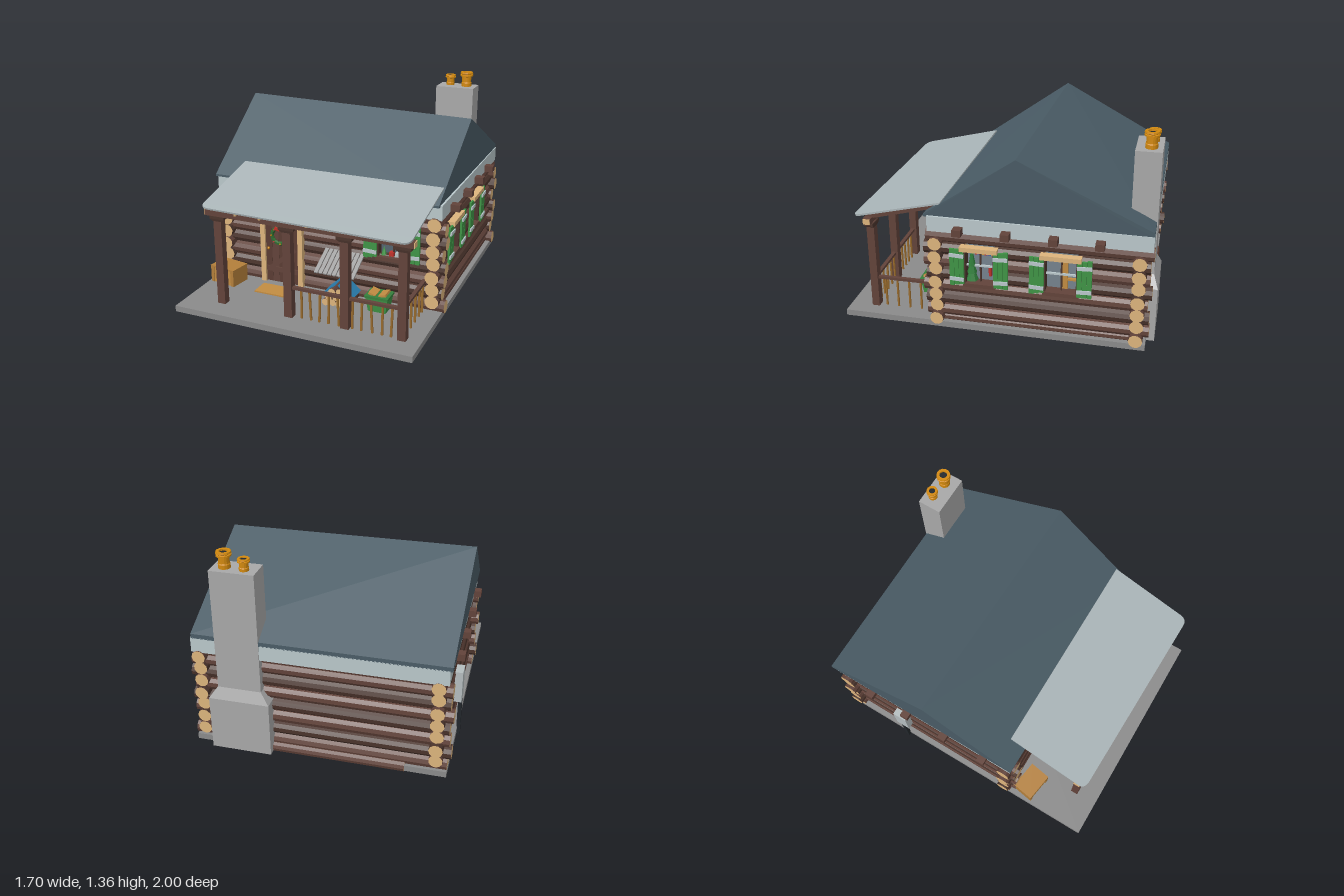
import * as THREE from 'three';
import { ConvexGeometry } from 'three/addons/geometries/ConvexGeometry.js';

const mats = {};
const mat = (c) => (mats[c] ??= new THREE.MeshStandardMaterial({ color: c, flatShading: true }));
const BROWN = 0x62433a, DARK = 0x4c352d, TAN = 0xdcb47c, STICK = 0x9a6c2e, CRATE = 0xc28c42,
  SLATE = 0x4a5c66, PALE = 0xb9c7ca, GREEN = 0x3f9446, GREY = 0x8a8a8a, BLACK = 0x22272b,
  ORANGE = 0xd2890f, RED = 0xc0322a, STONE = 0xa8a8a8;

function add(parent, name, geo, color, x = 0, y = 0, z = 0) {
  const m = new THREE.Mesh(geo, Array.isArray(color) ? color.map(mat) : mat(color));
  m.name = name;
  m.position.set(x, y, z);
  parent.add(m);
  return m;
}
const box = (p, name, c, w, h, d, x, y, z) => add(p, name, new THREE.BoxGeometry(w, h, d), c, x, y, z);
const cyl = (p, name, c, r, h, x, y, z, n = 8, r2 = r) => add(p, name, new THREE.CylinderGeometry(r, r2, h, n), c, x, y, z);
function group(parent, name, x = 0, y = 0, z = 0) {
  const g = new THREE.Group();
  g.name = name;
  g.position.set(x, y, z);
  parent.add(g);
  return g;
}

// Horizontal round log with pale cut ends, from a to b along x or z
function log(parent, name, axis, a, b, y, off, r, turn = 0) {
  const g = new THREE.CylinderGeometry(r, r * 0.96, b - a, 10);
  g.rotateY(turn);
  if (axis === 'x') g.rotateZ(Math.PI / 2); else g.rotateX(Math.PI / 2);
  const m = (a + b) / 2;
  add(parent, name, g, [turn % 2 ? DARK : BROWN, TAN, TAN], axis === 'x' ? m : off, y, axis === 'x' ? off : m);
}

// Stack of logs, interrupted where a window opening lies
function logWall(parent, name, axis, a, b, y0, off, gaps = []) {
  const wall = group(parent, name);
  for (let i = 0; i < 7; i++) {
    const y = y0 + i * 0.087;
    const wob = 0.012 * Math.sin(i * 2.3 + off * 5);
    const cuts = gaps.filter((g) => y > g.y0 - 0.02 && y < g.y1 + 0.02);
    let s = a + wob;
    for (const c of cuts) {
      log(wall, 'wallLog', axis, s, c.a, y, off, 0.046, i);
      s = c.b;
    }
    log(wall, 'wallLog', axis, s, b + wob, y, off, 0.046, i);
  }
  return wall;
}

// Window facing +z: recessed pane, frame, glazing bars and two board shutters
function shutteredWindow(parent, name, w, h, paneColor) {
  const g = group(parent, name);
  box(g, 'pane', paneColor, w + 0.03, h + 0.04, 0.01, 0, 0, -0.065);
  box(g, 'header', TAN, w + 0.05, 0.03, 0.05, 0, h / 2 + 0.015, 0.005);
  box(g, 'sill', BROWN, w + 0.02, 0.025, 0.09, 0, -h / 2 - 0.012, -0.03);
  box(g, 'middleRail', PALE, w, 0.012, 0.012, 0, 0, -0.03);
  box(g, 'glazingBar', DARK, 0.01, h, 0.012, 0, 0, -0.035);
  for (const s of [-1, 1]) {
    box(g, 'jamb', DARK, 0.015, h, 0.07, s * w / 2, 0, -0.03);
    const sh = group(g, 'shutter', s * (w / 2 + 0.045), 0, 0.015);
    for (let i = -1; i <= 1; i++)
      box(sh, 'shutterBoard', GREEN, 0.029, h + 0.02 + 0.008 * i * s, 0.014, i * 0.031, 0.003 * i, 0);
    for (const t of [-1, 1])
      box(sh, 'shutterBatten', PALE, 0.092, 0.024, 0.01, 0, t * h * 0.36, 0.01).rotation.z = 0.05 * s;
  }
  return g;
}

function chimneyPot(parent, x, z, r, h) {
  const pts = [[0.8, 0], [0.8, 0.25], [0.72, 0.3], [0.72, 0.68], [1, 0.72], [1, 0.82], [0.85, 0.85], [1, 0.9], [0.95, 1], [0.55, 1], [0.5, 0.6]]
    .map(([a, b]) => new THREE.Vector2(a * r, b * h));
  add(parent, 'chimneyPot', new THREE.LatheGeometry(pts, 14), ORANGE, x, 1.25, z);
  cyl(parent, 'potHole', BLACK, r * 0.55, 0.01, x, 1.25 + h * 0.85, z, 14);
}

const hull = (pts) => new ConvexGeometry(pts.map((p) => new THREE.Vector3(...p)));
const ring = (y, x0, x1, z0, z1) => [[x0, y, z0], [x1, y, z0], [x0, y, z1], [x1, y, z1]];

export function createModel() {
  const house = new THREE.Group();
  house.name = 'logCabin';
  box(house, 'baseSlab', GREY, 1.62, 0.04, 1.95, 0, 0.04, 0.025);

  // Log walls
  const sideGaps = [{ a: -0.52, b: -0.315, y0: 0.35, y1: 0.575 }, { a: 0, b: 0.19, y0: 0.35, y1: 0.575 }];
  const frontGap = [{ a: 0.365, b: 0.565, y0: 0.38, y1: 0.61 }];
  logWall(house, 'frontWall', 'x', -0.82, 0.81, 0.085, 0.375, frontGap);
  logWall(house, 'backWall', 'x', -0.82, 0.81, 0.085, -0.89);
  logWall(house, 'leftWall', 'z', -0.96, 0.45, 0.13, 0.745, sideGaps);
  logWall(house, 'rightWall', 'z', -0.96, 0.45, 0.13, -0.74);
  for (const z of [0.375, -0.89]) log(house, 'topLog', 'x', -0.75, 0.75, 0.68, z, 0.046);
  for (const x of [-0.74, 0.745]) log(house, 'bottomLog', 'z', -0.89, 0.37, 0.075, x, 0.036);
  log(house, 'lowBackLog', 'x', -0.55, 0.57, 0.04, -0.925, 0.036);

  // Pale board under the roof, with beam ends poking out below it
  box(house, 'trimBoard', PALE, 1.59, 0.1, 1.39, -0.005, 0.735, -0.27);
  for (const z of [0.22, -0.08, -0.375, -0.655]) box(house, 'ceilingBeam', BROWN, 1.7, 0.045, 0.055, 0, 0.712, z);

  // Main roof with a slightly crooked ridge
  add(house, 'mainRoof', hull([
    [-0.81, 0.775, 0.435], [0.775, 0.775, 0.45], [-0.81, 0.79, 0.435], [0.775, 0.79, 0.45],
    [-0.815, 0.78, -0.965], [0.785, 0.78, -0.965], [-0.815, 0.81, -0.965], [0.785, 0.81, -0.965],
    [-0.83, 1.225, -0.18], [0.8, 1.2, -0.14]]), SLATE);

  // Chimney on the back wall
  const chimney = group(house, 'chimney');
  add(chimney, 'chimneyBase', hull([...ring(0.02, 0.295, 0.685, -0.82, -1), ...ring(0.385, 0.295, 0.685, -0.82, -1),
    ...ring(0.46, 0.35, 0.63, -0.82, -0.97)]), STONE);
  box(chimney, 'chimneyStack', STONE, 0.28, 0.82, 0.16, 0.49, 0.84, -0.89);
  chimneyPot(chimney, 0.43, -0.91, 0.038, 0.075);
  chimneyPot(chimney, 0.555, -0.9, 0.047, 0.105);

  // Porch roof: thin sheet with rounded front corners
  const porch = group(house, 'porch');
  const s = new THREE.Shape();
  s.moveTo(-0.635, 0);
  s.lineTo(0.77, 0.005);
  s.lineTo(0.755, 0.55);
  s.quadraticCurveTo(0.755, 0.61, 0.7, 0.61);
  s.lineTo(-0.59, 0.58);
  s.quadraticCurveTo(-0.645, 0.575, -0.645, 0.53);
  s.closePath();
  add(porch, 'porchRoof', new THREE.ExtrudeGeometry(s, { depth: 0.012, bevelEnabled: false }), 0xa9b4b7, 0, 0.875, 0.335).rotation.x = 1.819;

  // Porch frame
  box(porch, 'porchBeam', BROWN, 1.39, 0.04, 0.05, 0.06, 0.688, 0.835);
  for (const x of [-0.638, 0.758]) box(porch, 'beamEnd', TAN, 0.006, 0.036, 0.045, x, 0.688, 0.835);
  const posts = [-0.55, -0.065, 0.32, 0.69];
  for (const x of posts) {
    box(porch, 'post', BROWN, 0.055, 0.61, 0.05, x, 0.365, 0.83);
    add(porch, 'postCap', hull([...ring(0.635, x - 0.03, x + 0.03, 0.803, 0.857), ...ring(0.65, x - 0.052, x + 0.052, 0.8, 0.86),
      ...ring(0.668, x - 0.052, x + 0.052, 0.8, 0.86)]), DARK);
    box(porch, 'rafter', BROWN, 0.045, 0.03, 0.5, x, 0.765, 0.61).rotation.x = 0.249;
  }
  for (const x of [-0.41, -0.24, 0.08, 0.24, 0.5]) box(porch, 'smallRafter', TAN, 0.015, 0.018, 0.5, x, 0.765, 0.63).rotation.x = 0.249;

  // Railing with stick balusters
  box(porch, 'frontRail', BROWN, 0.75, 0.018, 0.025, 0.315, 0.262, 0.83);
  box(porch, 'sideRail', BROWN, 0.025, 0.018, 0.41, 0.69, 0.265, 0.625);
  [0.02, 0.08, 0.145, 0.205, 0.27, 0.365, 0.425, 0.49, 0.56, 0.62].forEach((x, i) => {
    cyl(porch, 'baluster', STICK, 0.008, 0.205, x, 0.16, 0.83, 6).rotation.z = 0.05 * Math.sin(i * 2);
  });
  for (const z of [0.76, 0.68, 0.6, 0.52, 0.46]) cyl(porch, 'sideBaluster', STICK, 0.008, 0.205, 0.69, 0.16, z, 6);

  // Door with plank boards, frame and wreath
  const door = group(house, 'door', -0.32, 0, 0.42);
  for (let i = -2; i <= 2; i++) box(door, 'doorPlank', i % 2 ? BROWN : 0x5a3c33, 0.05, 0.53, 0.02, i * 0.051, 0.33, 0);
  for (const y of [0.16, 0.52]) box(door, 'doorBatten', BROWN, 0.24, 0.035, 0.012, 0, y, 0.013);
  box(door, 'doorBrace', BROWN, 0.26, 0.03, 0.012, 0, 0.24, 0.013).rotation.z = 0.7;
  for (const x of [-0.14, 0.14]) box(door, 'doorJamb', TAN, 0.035, 0.56, 0.04, x, 0.34, 0.006);
  box(door, 'doorHeader', TAN, 0.29, 0.03, 0.04, 0, 0.61, 0.006);
  add(door, 'doorKnob', new THREE.SphereGeometry(0.01, 8, 6), ORANGE, -0.1, 0.31, 0.02);
  const wreath = group(door, 'wreath', -0.01, 0.415, 0.028);
  add(wreath, 'wreathRing', new THREE.TorusGeometry(0.055, 0.014, 6, 14), 0x2f6b2f);
  for (let i = 0; i < 7; i++) {
    const a = i * 0.9 + 0.4;
    add(wreath, 'berry', new THREE.IcosahedronGeometry(0.007), i % 2 ? ORANGE : RED, 0.055 * Math.cos(a), 0.055 * Math.sin(a), 0.013);
  }
  for (const k of [-1, 1]) box(wreath, 'bow', RED, 0.028, 0.02, 0.012, k * 0.013, 0.055, 0.014).rotation.z = k * 0.3;
  box(house, 'doorMat', CRATE, 0.23, 0.01, 0.13, -0.32, 0.065, 0.56);

  // Front window with small decorations on the ledge
  const fw = shutteredWindow(house, 'frontWindow', 0.2, 0.23, 0xb4b4b4);
  fw.position.set(0.465, 0.495, 0.415);
  box(fw, 'darkLowerPane', 0x53636e, 0.19, 0.1, 0.01, 0, -0.06, -0.06);
  cyl(fw, 'tinyTree', GREEN, 0, 0.06, -0.065, -0.085, -0.03, 8, 0.02);
  [[-0.01, RED], [0.03, 0xb8c4c4], [0.065, RED]].forEach(([x, c]) => box(fw, 'ornament', c, 0.03, 0.03, 0.03, x, -0.1, -0.03));

  // Side windows: decorated tree and bookshelf inside
  const w1 = shutteredWindow(house, 'treeWindow', 0.19, 0.225, 0x75828d);
  w1.position.set(0.785, 0.4625, 0.095);
  for (let i = 0; i < 3; i++) cyl(w1, 'treeTier', 0x2f7d3a, 0.01, 0.075, -0.055, -0.065 + i * 0.05, -0.035, 8, 0.04 - i * 0.008);
  for (let i = 0; i < 8; i++) box(w1, 'book', [RED, 0x6a4a9c, 0x2f6fa8, ORANGE][i % 4], 0.012, 0.03, 0.02, -0.03 + i * 0.015, 0.085, -0.05);
  cyl(w1, 'candle', RED, 0.01, 0.06, 0.06, -0.04, -0.04);
  const w2 = shutteredWindow(house, 'shelfWindow', 0.205, 0.225, 0x75828d);
  w2.position.set(0.785, 0.4625, -0.417);
  box(w2, 'cupboard', CRATE, 0.035, 0.21, 0.02, 0.02, 0, -0.05);
  box(w2, 'shelf', CRATE, 0.08, 0.012, 0.02, 0.06, -0.04, -0.05);
  for (const w of [w1, w2]) w.rotation.y = Math.PI / 2;

  // Electric meter on the right wall
  const meter = group(house, 'meter', -0.8, 0, -0.46);
  box(meter, 'meterBox', 0xb4bcbe, 0.05, 0.22, 0.1, -0.005, 0.39, 0);
  box(meter, 'meterPipe', BLACK, 0.025, 0.28, 0.025, -0.018, 0.14, 0);

  // Wooden crate
  const crate = group(house, 'crate', -0.685, 0.06, 0.53);
  crate.rotation.y = -0.16;
  box(crate, 'crateBody', CRATE, 0.19, 0.11, 0.14, 0, 0.055, 0);
  box(crate, 'crateLid', 0xb37f3a, 0.2, 0.012, 0.15, 0, 0.114, 0);
  for (const x of [-0.085, 0.085]) box(crate, 'crateSlat', 0xb37f3a, 0.025, 0.11, 0.15, x, 0.055, 0);

  // Firewood stack, blue tarp and slatted lean-to
  const wood = group(house, 'woodpile');
  [4, 3, 2].forEach((n, row) => {
    for (let i = 0; i < n; i++)
      log(wood, 'firewood', 'z', 0.44, 0.62 - 0.01 * (i % 2), 0.086 + row * 0.04, 0.155 + (i - (n - 1) / 2) * 0.047, 0.024, i + row);
  });
  for (const k of [-1, 1]) box(wood, 'tarp', 0x2b7fb0, 0.13, 0.008, 0.15, 0.155 + k * 0.058, 0.165, 0.52).rotation.z = -k * 0.75;
  const lean = group(wood, 'leanTo', 0.14, 0.325, 0.515);
  lean.rotation.x = 0.47;
  for (let i = 0; i < 9; i++) box(lean, 'leanToSlat', 0xa0a0a0, 0.025, 0.01, 0.21, (i - 4) * 0.0315, 0, 0);
  for (const z of [-0.07, 0.07]) box(lean, 'leanToBar', GREY, 0.27, 0.01, 0.018, 0, -0.01, z);

  // Green bin filled with scrap wood
  const bin = group(house, 'greenBin', 0.425, 0.06, 0.53);
  add(bin, 'binBody', hull([...ring(0, -0.06, 0.06, -0.045, 0.045), ...ring(0.105, -0.075, 0.075, -0.06, 0.06)]), GREEN);
  box(bin, 'binRim', 0x357f3c, 0.16, 0.014, 0.13, 0, 0.105, 0);
  for (const k of [-1, 1]) box(bin, 'scrapBoard', CRATE, 0.05, 0.015, 0.09, k * 0.035, 0.118, 0).rotation.z = k * 0.3;
  return house;
}
